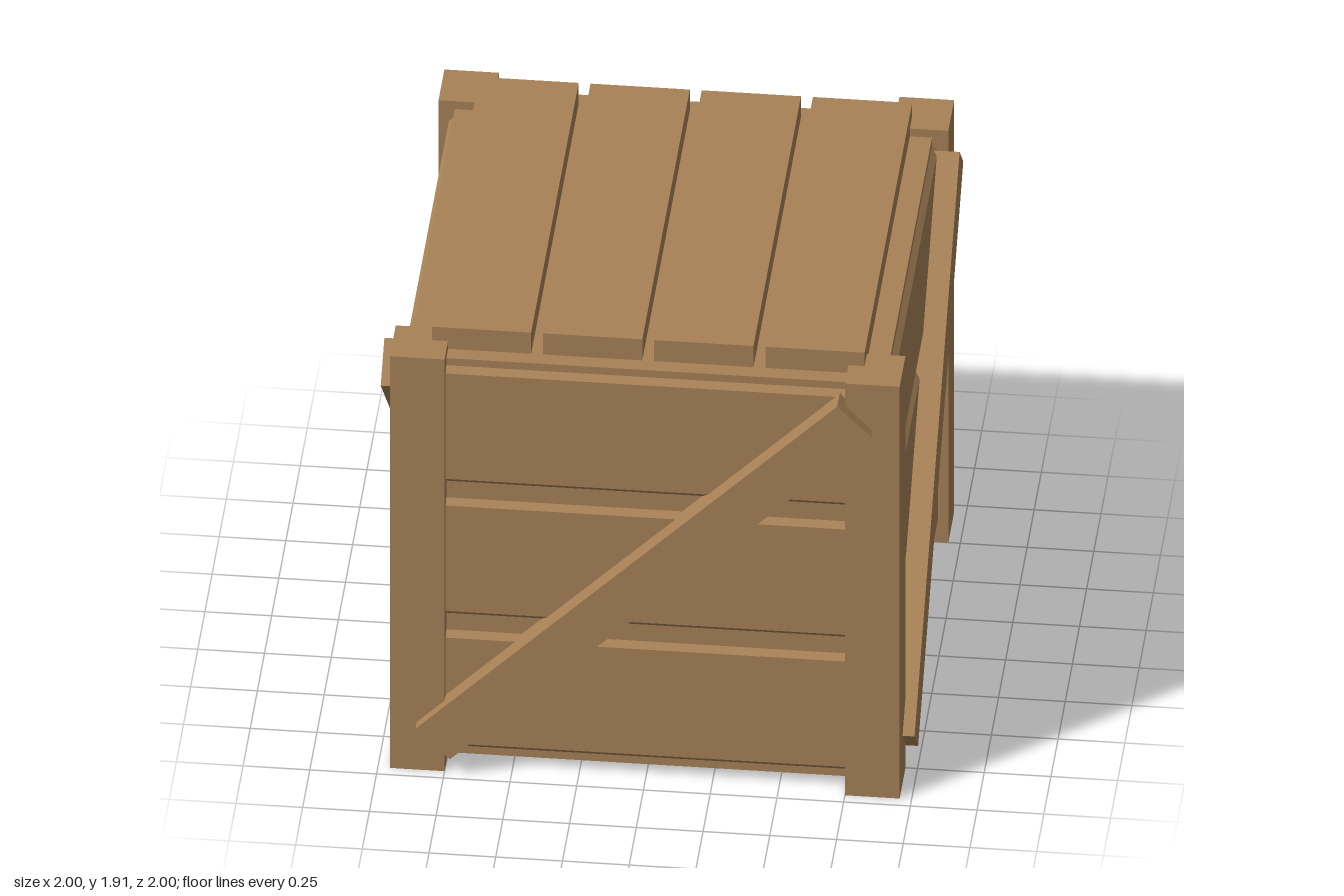
import * as THREE from 'three';

export function createModel() {
  const crate = new THREE.Group();
  crate.name = 'crate';
  const wood = new THREE.MeshStandardMaterial({ color: 0xa88257 });
  wood.name = 'wood';

  const add = (parent, name, geometry, x = 0, y = 0, z = 0) => {
    const mesh = new THREE.Mesh(geometry, wood);
    mesh.name = name;
    mesh.position.set(x, y, z);
    parent.add(mesh);
    return mesh;
  };

  // Inner box behind the planks
  add(crate, 'innerBox', new THREE.BoxGeometry(1.788, 1.775, 1.788), 0, 0.9325, 0);

  // Corner posts
  const postGeometry = new THREE.BoxGeometry(0.205, 1.855, 0.205);
  for (const x of [-1, 1]) {
    for (const z of [-1, 1]) {
      add(crate, 'cornerPost', postGeometry, x * 0.8525, 0.9275, z * 0.8525);
    }
  }

  // Lid slats
  const slatGeometry = new THREE.BoxGeometry(0.372, 0.095, 1.664);
  for (let i = 0; i < 4; i++) {
    add(crate, 'lidSlat', slatGeometry, (i - 1.5) * 0.4165, 1.8675, 0);
  }

  // Bevelled plank: cross-section in depth and height, run along the wall
  const halfBack = 0.26, halfFront = 0.2375, depth = 0.022, plankLength = 1.56;
  const section = new THREE.Shape([
    new THREE.Vector2(-0.01, -halfBack),
    new THREE.Vector2(0, -halfBack),
    new THREE.Vector2(depth, -halfFront),
    new THREE.Vector2(depth, halfFront),
    new THREE.Vector2(0, halfBack),
    new THREE.Vector2(-0.01, halfBack),
  ]);
  const plankGeometry = new THREE.ExtrudeGeometry(section, { depth: plankLength, bevelEnabled: false });
  plankGeometry.translate(0, 0, -plankLength / 2).rotateY(-Math.PI / 2);

  // Diagonal brace from lower left to upper right of each wall
  const rise = 1.565, run = 1.58;
  const braceGeometry = new THREE.BoxGeometry(Math.hypot(rise, run), 0.182, 0.106);

  // Four identical walls turned around the vertical axis
  ['front', 'left', 'back', 'right'].forEach((side, i) => {
    const wall = new THREE.Group();
    wall.name = side + 'Wall';
    for (let row = 0; row < 3; row++) {
      add(wall, 'sidePlank', plankGeometry, 0, 0.338 + row * 0.595, 0.894);
    }
    const brace = add(wall, 'diagonalBrace', braceGeometry, 0, 0.9325, 0.947);
    brace.rotation.z = Math.atan2(rise, run);
    wall.rotation.y = i * Math.PI / 2;
    crate.add(wall);
  });

  return crate;
}
